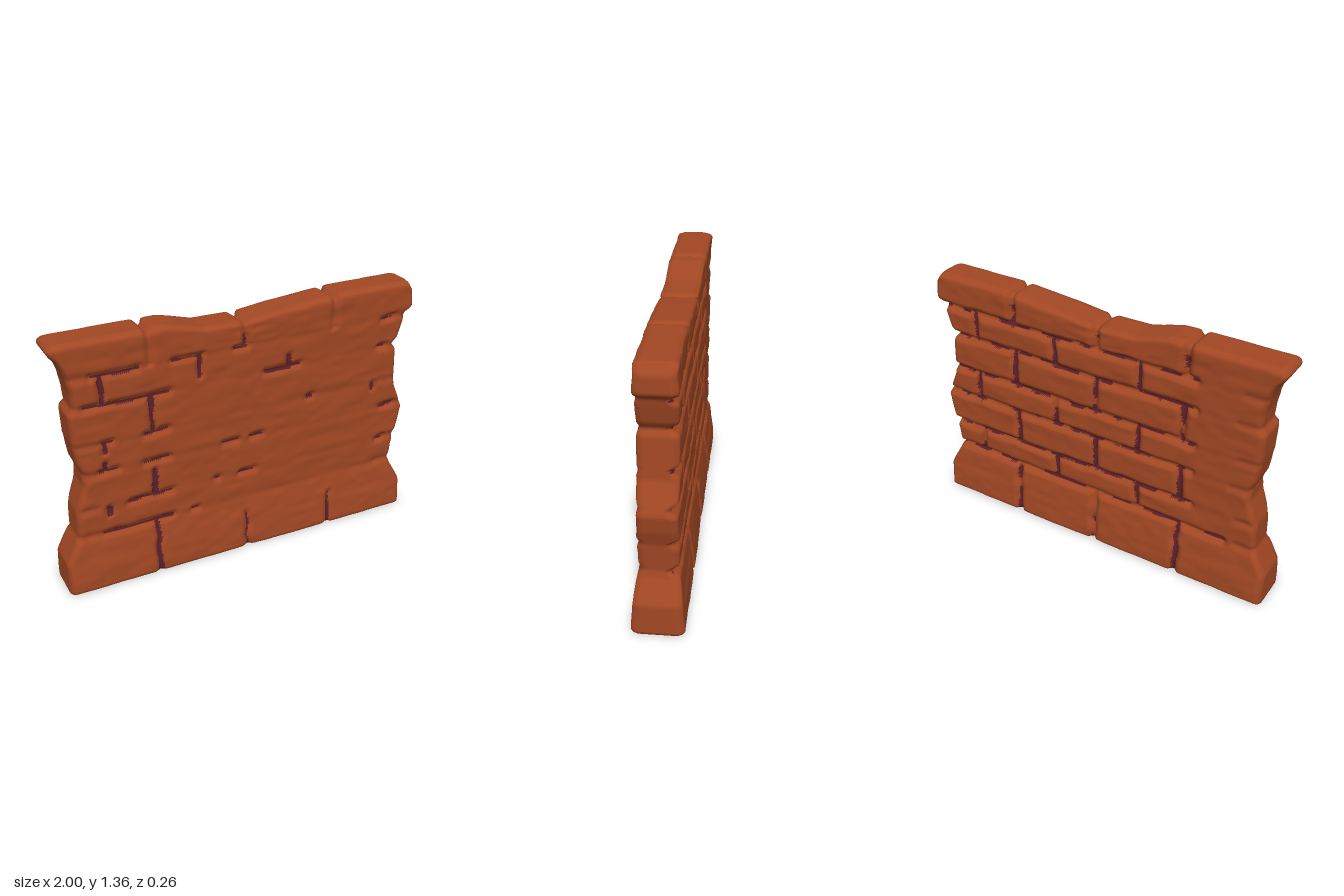
import * as THREE from 'three';
import { mergeVertices } from 'three/addons/utils/BufferGeometryUtils.js';

const H = 1.36;
const ROWS = [0.31, 0.46, 0.655, 0.82, 1.02, 1.18];
const COURSES = ['baseCourse', 'brickCourse1', 'brickCourse2', 'brickCourse3', 'brickCourse4', 'brickCourse5', 'capCourse'];

// Worn outlines: left and right edges as [y, x], top edge as [x, y]
const LEFT = [[0, -1], [0.17, -1], [0.31, -0.93], [0.46, -0.925], [0.6, -0.88], [0.67, -0.88], [0.72, -0.9], [0.85, -0.92],
  [0.99, -0.925], [1.02, -0.9], [1.1, -0.905], [1.18, -0.92], [1.23, -0.935], [1.28, -0.965], [1.31, -0.99], [1.335, -1], [1.36, -0.97]];
const RIGHT = [[0, 0.995], [0.16, 0.995], [0.27, 0.935], [0.31, 0.925], [0.46, 0.94], [0.54, 0.968], [0.63, 0.985], [0.69, 0.96],
  [0.78, 0.92], [0.86, 0.915], [0.99, 0.91], [1.02, 0.89], [1.06, 0.92], [1.15, 0.945], [1.19, 0.955], [1.22, 0.995], [1.31, 0.995], [1.36, 0.96]];
const TOP = [[-1, 1.36], [-0.535, 1.36], [-0.51, 1.335], [-0.485, 1.36], [-0.41, 1.36], [-0.34, 1.343], [-0.22, 1.312], [-0.03, 1.308],
  [0, 1.29], [0.03, 1.308], [0.2, 1.33], [0.3, 1.338], [0.45, 1.352], [0.485, 1.355], [0.51, 1.332], [0.54, 1.36], [1, 1.36]];

function along(points, t) {
  for (let i = 1; i < points.length; i++) {
    const [a, fa] = points[i - 1], [b, fb] = points[i];
    if (t <= b) return fa + (fb - fa) * Math.max(0, (t - a) / (b - a));
  }
  return points[points.length - 1][1];
}

// Smooth value noise, 0 to 1
const hash = (i, j) => { const s = Math.sin(i * 127.1 + j * 311.7) * 43758.5453; return s - Math.floor(s); };
function noise(x, y) {
  const i = Math.floor(x), j = Math.floor(y);
  const f = (t) => t * t * (3 - 2 * t), u = f(x - i), v = f(y - j);
  return (hash(i, j) * (1 - u) + hash(i + 1, j) * u) * (1 - v) + (hash(i, j + 1) * (1 - u) + hash(i + 1, j + 1) * u) * v;
}

// Seams: rows are [y, x0, x1], joints are [x, y0, y1]; kept as boxes with a mortar half-width
const row = (half) => ([y, a, b]) => ({ x0: a, x1: b, y0: y, y1: y, half });
const joint = (half) => ([x, a, b]) => ({ x0: x, x1: x, y0: a, y1: b, half });

// The front is worn nearly smooth, with a few open seams left
const frontSeams = [
  ...[[1.18, -0.8, -0.57], [1.18, -0.39, -0.24], [1.18, -0.06, 0.01], [1.18, 0.81, 0.87], [1.02, -0.84, -0.42], [1.02, 0.11, 0.31],
    [1.02, 0.8, 0.83], [0.82, -0.77, -0.72], [0.82, -0.55, -0.43], [0.82, 0.37, 0.39], [0.66, -0.79, -0.7], [0.66, -0.56, -0.43],
    [0.66, -0.13, -0.05], [0.66, 0.03, 0.09], [0.66, 0.83, 0.91], [0.46, -0.65, -0.42], [0.46, -0.17, -0.16], [0.46, -0.03, 0.05],
    [0.46, 0.83, 0.86], [0.31, -0.79, -0.42], [0.31, -0.31, -0.28]].map(row(0.008)),
  ...[[-0.76, 1.03, 1.17], [-0.25, 1.07, 1.17], [0.25, 1.02, 1.08], [-0.51, 0.83, 1.01], [0.77, 0.79, 0.81], [-0.76, 0.67, 0.7],
    [-0.76, 0.77, 0.81], [-0.51, 0.48, 0.6], [-0.76, 0.42, 0.45], [0, 1.18, 1.26], [-0.51, 0, 0.3]].map(joint(0.014)),
  ...[[0, 0, 0.2], [0.51, 0, 0.19]].map(joint(0.01)),
];

// The back keeps its full running bond, fading out near the right end
const backSeams = ROWS.map((y, i) => row(0.009)([y, i === 0 ? -0.75 : -0.56, 1]));
[0, ...ROWS].forEach((y, i) => {
  const xs = i % 2 ? [-0.25, 0.25, 0.75] : [-0.5, 0, 0.5];
  xs.forEach((x) => backSeams.push(joint(0.013)([x, y, i === 6 ? H : ROWS[i]])));
});

// Groove strength 0..1 at a point, and whether mortar shows there
function seamAt(x, y, front) {
  const wx = x + 0.016 * (noise(x * 9, y * 14) - 0.5), wy = y + 0.014 * (noise(x * 11 + 40, y * 9) - 0.5);
  let groove = 0, mortar = false;
  for (const s of front ? frontSeams : backSeams) {
    const d = Math.hypot(Math.max(s.x0 - wx, wx - s.x1, 0), Math.max(s.y0 - wy, wy - s.y1, 0));
    groove = Math.max(groove, 1 - d / 0.034);
    const patch = noise(x * 16, y * 16 + 7);
    if (d < s.half * (0.45 + patch) && (front || patch > (s.y0 === s.y1 ? 0.42 : 0.22))) mortar = true;
  }
  return { groove: groove * groove * (3 - 2 * groove), mortar };
}

// Half thickness of the wall
function halfDepth(x, y, front, edge) {
  let d = y < 0.31 ? 0.095 + 0.031 * (1 - Math.pow(y / 0.31, 1.5)) : 0.096;
  d += 0.006 * (noise(x * 6, y * 16) - 0.5) + 0.004 * (noise(x * 15, y * 30) - 0.5);
  d -= seamAt(x, y, front).groove * (front ? 0.016 : 0.026);
  // Shallow course lines, stronger at the two ends, and shallow joints across the cap
  const rowGap = Math.min(...ROWS.map((r) => Math.abs(r - y)));
  d -= Math.max(0, 1 - rowGap / 0.03) * (edge < 0.12 ? 0.01 : 0.002);
  if (y > 1.18) d -= 0.016 * Math.max(0, 1 - Math.min(...[-0.51, 0, 0.51].map((j) => Math.abs(j - x))) / 0.03);
  // Rounded rims
  const round = (e, r) => (e < r ? r - Math.sqrt(r * r - (r - e) * (r - e)) : 0);
  return d - round(edge, 0.026) - round(H - y, 0.026) - round(y, 0.01);
}

export function createModel() {
  const brick = new THREE.MeshStandardMaterial({ color: 0xa34824 });
  brick.name = 'brick';
  const mortar = new THREE.MeshStandardMaterial({ color: 0x5c2029 });
  mortar.name = 'mortar';

  // Fine block, sculpted by rule into the wall
  let geo = new THREE.BoxGeometry(2, H, 2, 180, 122, 10);
  geo.deleteAttribute('normal');
  geo.deleteAttribute('uv');
  geo = mergeVertices(geo, 1e-4);
  const p = geo.attributes.position;
  const flatY = new Float32Array(p.count);
  for (let i = 0; i < p.count; i++) {
    const y = Math.min(H, Math.max(0, p.getY(i) + H / 2)), w = p.getZ(i);
    const l = along(LEFT, y), r = along(RIGHT, y);
    const x = l + (r - l) * (p.getX(i) + 1) / 2;
    const edge = Math.max(0, Math.min(x - l, r - x));
    const z = w * halfDepth(x, y, w > 0, edge);
    const yTop = y < 1.19 ? y : 1.19 + (y - 1.19) * (along(TOP, x) - 1.19) / (H - 1.19);
    flatY[i] = y;
    p.setXYZ(i, x, yTop, z);
  }
  geo.computeVertexNormals();

  // Sort the faces into courses and mortar
  const faces = COURSES.map(() => []), mortarFaces = [];
  const index = geo.index.array;
  for (let k = 0; k < index.length; k += 3) {
    const tri = [index[k], index[k + 1], index[k + 2]];
    const mid = (get) => (get(tri[0]) + get(tri[1]) + get(tri[2])) / 3;
    const x = mid((i) => p.getX(i)), y = mid((i) => flatY[i]), z = mid((i) => p.getZ(i));
    const onFace = Math.abs(z) > 0.055 && y < 1.3 && y > 0.003;
    if (onFace && seamAt(x, y, z > 0).mortar) mortarFaces.push(...tri);
    else faces[ROWS.filter((r) => y > r).length].push(...tri);
  }

  const group = new THREE.Group();
  group.name = 'brickWall';
  const addPart = (name, list, material) => {
    const part = new THREE.BufferGeometry();
    part.setAttribute('position', geo.attributes.position);
    part.setAttribute('normal', geo.attributes.normal);
    part.setIndex(list);
    const mesh = new THREE.Mesh(part, material);
    mesh.name = name;
    group.add(mesh);
  };
  COURSES.forEach((name, i) => addPart(name, faces[i], brick));
  addPart('mortar', mortarFaces, mortar);
  return group;
}
